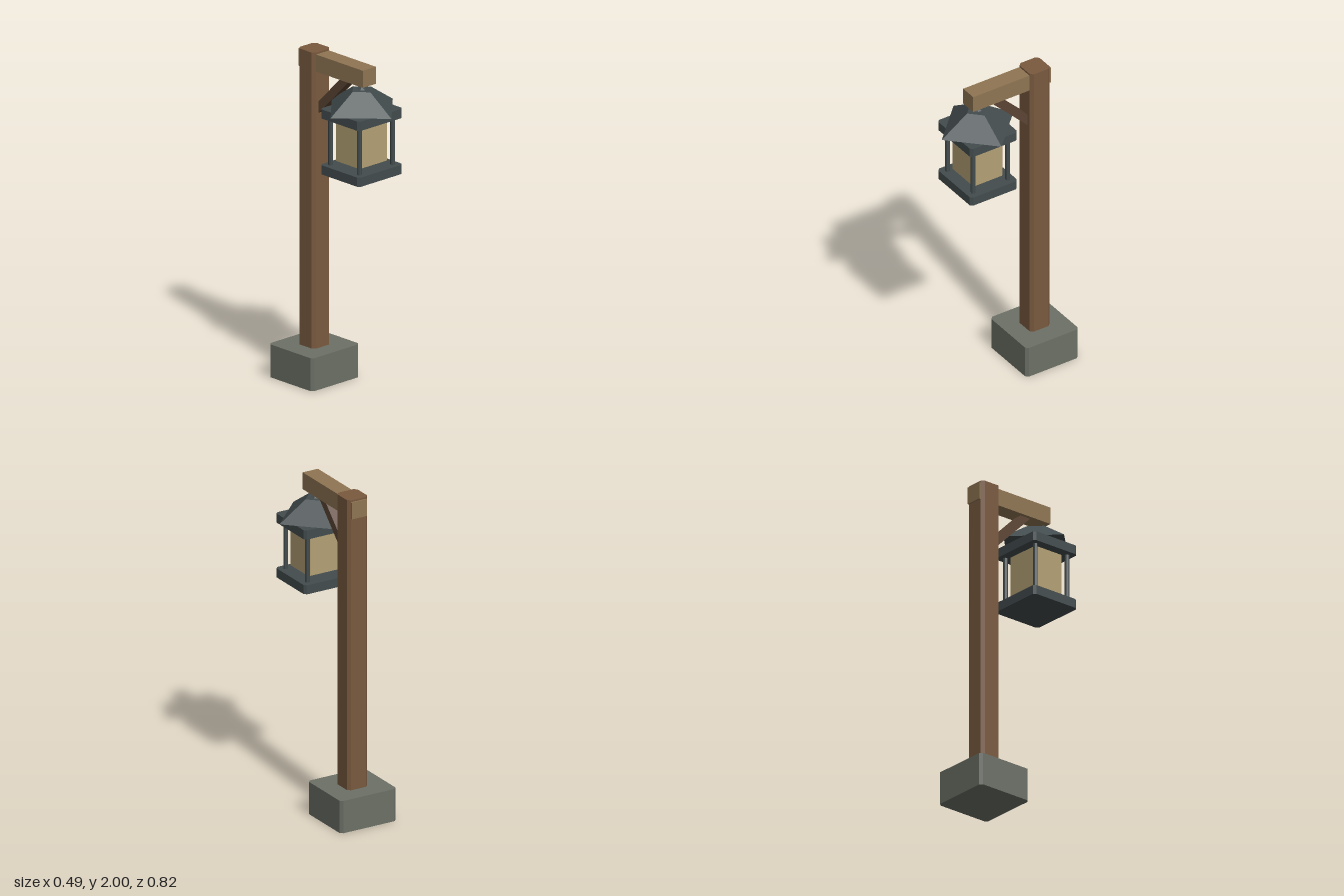
import * as THREE from 'three';

const mat = (color) => new THREE.MeshStandardMaterial({ color, flatShading: true });

export function createModel() {
  const model = new THREE.Group();
  const stone = mat(0x6c7066), wood = mat(0x7a5a3f), paleWood = mat(0x8f7553);
  const darkWood = mat(0x5c4534), metal = mat(0x434c4e), glass = mat(0xb3a074);

  const add = (parent, name, geometry, material, x, y, z) => {
    const mesh = new THREE.Mesh(geometry, material);
    mesh.name = name;
    mesh.position.set(x, y, z);
    parent.add(mesh);
    return mesh;
  };

  // Upright block with its four vertical edges cut off, standing on y = 0
  const block = (w, h, d, c) => {
    const a = w / 2, b = d / 2;
    const outline = [
      [a, -b + c], [a, b - c], [a - c, b], [-a + c, b],
      [-a, b - c], [-a, -b + c], [-a + c, -b], [a - c, -b],
    ].map(([x, y]) => new THREE.Vector2(x, y));
    return new THREE.ExtrudeGeometry(new THREE.Shape(outline), { depth: h, bevelEnabled: false })
      .rotateX(-Math.PI / 2);
  };

  // Footing, post and overhanging beam
  add(model, 'footing', block(0.378, 0.2, 0.364, 0.016), stone, 0, 0, -0.231);
  add(model, 'post', block(0.137, 1.8, 0.138, 0.018), wood, 0, 0.2, -0.231);
  add(model, 'beam', new THREE.BoxGeometry(0.103, 0.104, 0.536), paleWood, 0, 1.937, -0.041);

  // Diagonal brace between post and beam
  const brace = add(model, 'brace', new THREE.BoxGeometry(0.06, 0.05, 0.36), darkWood, 0, 1.772, -0.056);
  brace.rotation.x = -Math.PI / 4;

  // Lantern
  const lantern = new THREE.Group();
  lantern.name = 'lantern';
  lantern.position.z = 0.163;
  model.add(lantern);
  for (const [name, y] of [['lanternFloor', 1.335], ['lanternTopPlate', 1.675]]) {
    add(lantern, name, block(0.352, 0.056, 0.325, 0.015), metal, 0, y, 0);
  }
  add(lantern, 'glass', block(0.232, 0.26, 0.21, 0.014), glass, 0, 1.417, 0);
  for (const x of [-0.132, 0.132]) {
    for (const z of [-0.119, 0.119]) {
      add(lantern, 'cornerBar', new THREE.CylinderGeometry(0.014, 0.014, 0.3, 8), metal, x, 1.532, z);
    }
  }

  // Four-sided roof turned corner to front, with a small peak
  add(lantern, 'roof', new THREE.CylinderGeometry(0.072, 0.247, 0.117, 4), metal, 0, 1.7895, 0);
  add(lantern, 'peak', new THREE.ConeGeometry(0.028, 0.02, 6), metal, 0, 1.857, 0);

  return model;
}
